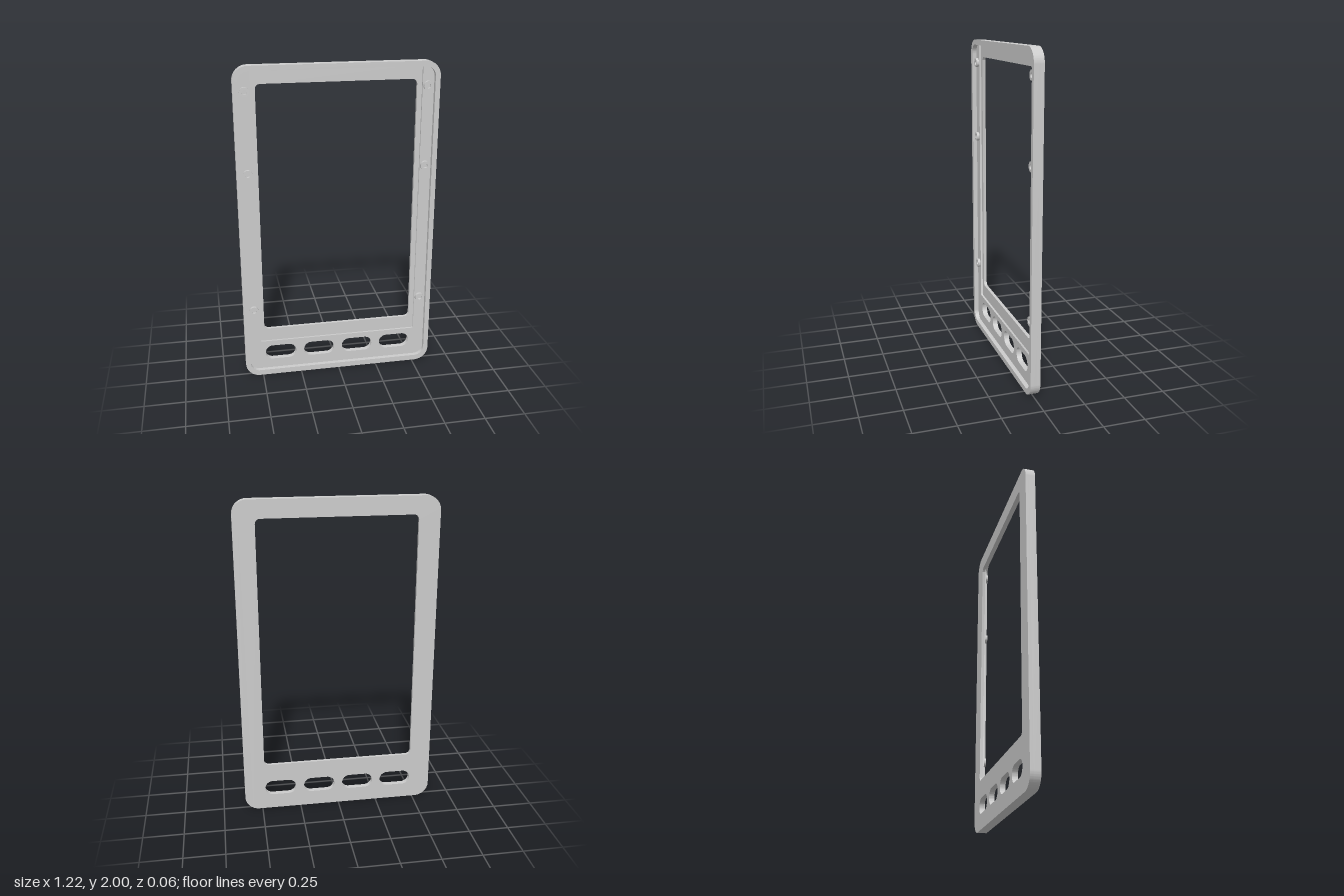
import * as THREE from 'three';
import { toCreasedNormals } from 'three/addons/utils/BufferGeometryUtils.js';

const BACK = -0.03, PLATE = -0.01, LEDGE = 0.003, FRONT = 0.03;
const material = new THREE.MeshStandardMaterial({ color: 0xcccccc });

// Rounded rectangle from its limits and corner radius
function roundedRect(x0, y0, x1, y1, r, Type = THREE.Shape) {
  const p = new Type();
  p.moveTo(x0 + r, y0);
  p.absarc(x1 - r, y0 + r, r, -Math.PI / 2, 0);
  p.absarc(x1 - r, y1 - r, r, 0, Math.PI / 2);
  p.absarc(x0 + r, y1 - r, r, Math.PI / 2, Math.PI);
  p.absarc(x0 + r, y0 + r, r, Math.PI, Math.PI * 1.5);
  p.closePath();
  return p;
}

// Flat layer between two depths
function layer(name, shape, z0, z1) {
  const geo = new THREE.ExtrudeGeometry(shape, { depth: z1 - z0, bevelEnabled: false, curveSegments: 12 });
  geo.translate(0, 0, z0);
  const mesh = new THREE.Mesh(toCreasedNormals(geo, 0.5), material);
  mesh.name = name;
  return mesh;
}

// Four button slots along the bottom
const slots = () => [-0.378, -0.126, 0.126, 0.378].map(
  (x) => roundedRect(x - 0.1, 0.098, x + 0.1, 0.195, 0.048, THREE.Path));

export function createModel() {
  const group = new THREE.Group();
  group.name = 'displayBezel';

  // Back plate with the window and slots
  const plate = roundedRect(-0.61, 0, 0.61, 2, 0.09);
  plate.holes.push(roundedRect(-0.48, 0.315, 0.48, 1.89, 0.03, THREE.Path), ...slots());
  group.add(layer('backPlate', plate, BACK, PLATE));

  // Raised outer rim
  const rim = roundedRect(-0.61, 0, 0.61, 2, 0.09);
  rim.holes.push(roundedRect(-0.58, 0.035, 0.58, 1.968, 0.06, THREE.Path));
  group.add(layer('outerRim', rim, PLATE, FRONT));

  // U-shaped ledge around the screen recess
  const r = 0.06, ledge = new THREE.Shape();
  ledge.moveTo(-0.58 + r, 0.035);
  ledge.absarc(0.58 - r, 0.035 + r, r, -Math.PI / 2, 0);
  ledge.absarc(0.58 - r, 1.968 - r, r, 0, Math.PI / 2);
  ledge.lineTo(0.51, 1.968);
  ledge.absarc(0.50, 0.24, 0.01, 0, -Math.PI / 2, true);
  ledge.absarc(-0.50, 0.24, 0.01, -Math.PI / 2, -Math.PI, true);
  ledge.lineTo(-0.51, 1.968);
  ledge.absarc(-0.58 + r, 1.968 - r, r, Math.PI / 2, Math.PI);
  ledge.absarc(-0.58 + r, 0.035 + r, r, Math.PI, Math.PI * 1.5);
  ledge.holes.push(...slots());
  group.add(layer('screenLedge', ledge, PLATE, LEDGE));

  // Hollow screw bosses on both sides
  for (const x of [-0.543, 0.543]) {
    for (const y of [0.46, 1.36, 1.85]) {
      const ring = new THREE.Shape().absarc(0, 0, 0.029, 0, Math.PI * 2);
      ring.holes.push(new THREE.Path().absarc(0, 0, 0.014, 0, Math.PI * 2));
      const boss = layer('screwBoss', ring, LEDGE, 0.02);
      boss.position.set(x, y, 0);
      group.add(boss);
    }
  }
  return group;
}
